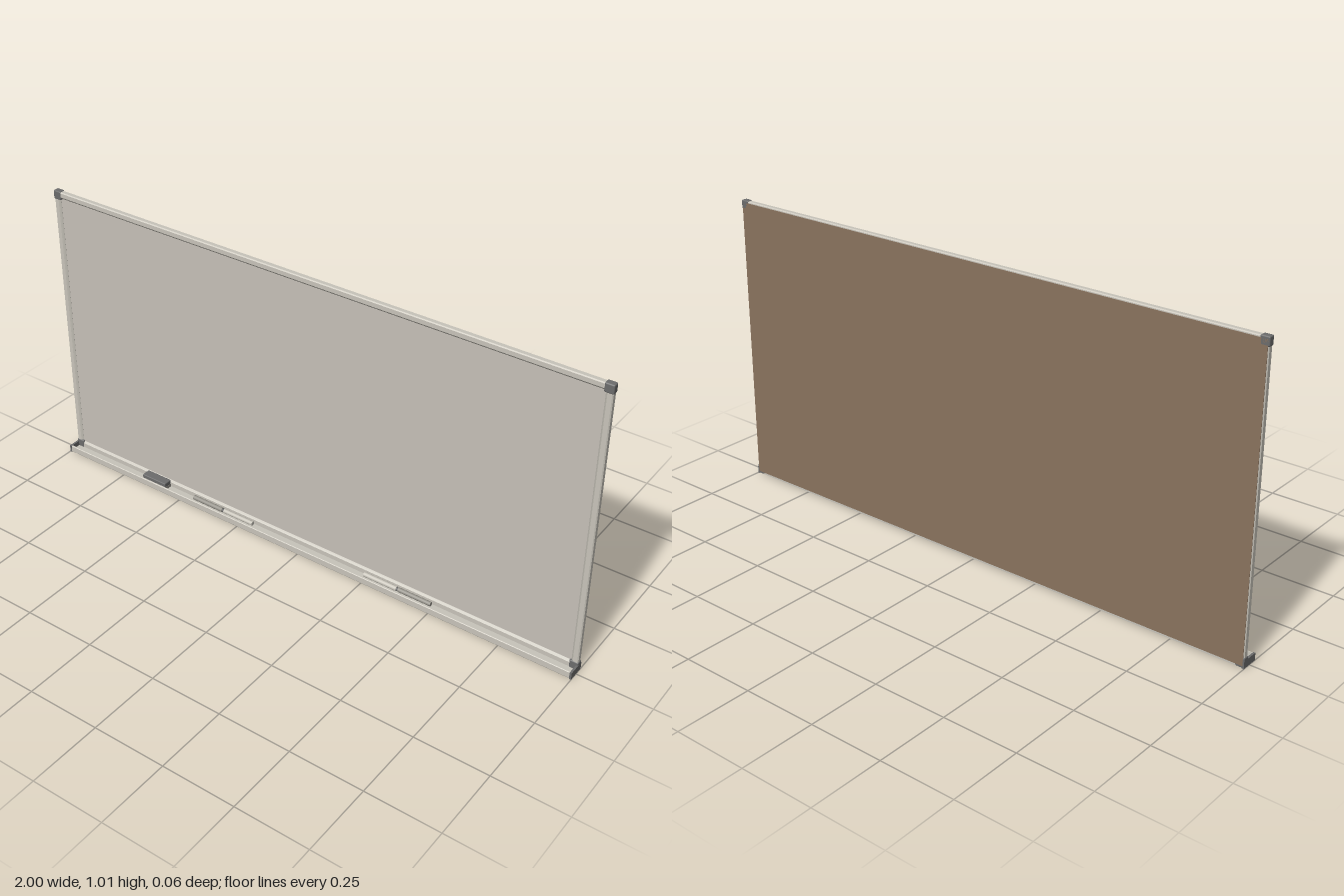
import * as THREE from 'three';
import { RoundedBoxGeometry } from 'three/addons/geometries/RoundedBoxGeometry.js';

const mat = (name, color) => {
  const m = new THREE.MeshStandardMaterial({ color });
  m.name = name;
  return m;
};

// Extrude a (z, y) outline along x, centred on x = 0
function railGeometry(points, length) {
  const shape = new THREE.Shape(points.map(([z, y]) => new THREE.Vector2(z, y)));
  const geo = new THREE.ExtrudeGeometry(shape, { depth: length, bevelEnabled: false });
  geo.translate(0, 0, -length / 2);
  geo.rotateY(-Math.PI / 2);
  return geo;
}

export function createModel() {
  const model = new THREE.Group();
  model.name = 'whiteboard';
  const frameMat = mat('pale aluminium', 0xc8c4ba);
  const boardMat = mat('writing surface', 0xc6c0b8);
  const backMat = mat('brown backing', 0x8a735e);
  const darkMat = mat('dark grey plastic', 0x6c6c6c);
  const capMat = mat('marker grey', 0x96938b);

  const add = (name, geo, material, x = 0, y = 0, z = 0, parent = model) => {
    const mesh = new THREE.Mesh(geo, material);
    mesh.name = name;
    mesh.position.set(x, y, z);
    parent.add(mesh);
    return mesh;
  };

  // Writing panel and its backing sheet
  add('writingPanel', new THREE.BoxGeometry(1.97, 0.97, 0.008), boardMat, 0, 0.503, -0.02);
  add('backing', new THREE.BoxGeometry(1.99, 0.99, 0.005), backMat, 0, 0.503, -0.0275);

  // Top and side rails share one chamfered profile, outward is +y
  const profile = [
    [-0.0285, 0], [-0.0285, 0.021], [-0.0255, 0.024], [-0.0125, 0.024],
    [-0.0095, 0.021], [-0.0095, 0.007], [-0.0125, 0.003], [-0.0155, 0],
  ].reverse();
  add('topRail', railGeometry(profile, 1.96), frameMat, 0, 0.98, 0);
  const sideGeo = railGeometry(profile, 0.96);
  for (const s of [-1, 1]) {
    const rail = add(s > 0 ? 'leftRail' : 'rightRail', sideGeo, frameMat, s * 0.974, 0.503, 0);
    rail.rotation.z = -s * Math.PI / 2;
  }

  // Bottom rail and open tray in one section
  const tray = [
    [-0.0285, 0.001], [0.029, 0.001], [0.03, 0.003], [0.03, 0.023], [0.028, 0.025],
    [0.025, 0.025], [0.024, 0.008], [-0.0095, 0.008], [-0.0095, 0.024],
    [-0.0155, 0.031], [-0.0285, 0.031],
  ];
  add('tray', railGeometry(tray, 1.99), frameMat);

  // Corner caps and tray end plates
  const cornerGeo = new RoundedBoxGeometry(0.03, 0.03, 0.022, 2, 0.004);
  const lowerGeo = new RoundedBoxGeometry(0.03, 0.034, 0.022, 2, 0.004);
  const endGeo = new THREE.BoxGeometry(0.007, 0.025, 0.061);
  for (const s of [-1, 1]) {
    const side = s > 0 ? 'left' : 'right';
    add(side + 'TopCorner', cornerGeo, darkMat, s * 0.985, 0.991, -0.019);
    add(side + 'BottomCorner', lowerGeo, darkMat, s * 0.985, 0.018, -0.019);
    add(side + 'TrayEnd', endGeo, darkMat, s * 0.9965, 0.0125, 0.0005);
  }

  // Eraser resting in the tray
  const eraser = new THREE.Group();
  eraser.name = 'eraser';
  eraser.position.set(-0.615, 0, 0.007);
  model.add(eraser);
  add('eraserPad', new THREE.BoxGeometry(0.098, 0.012, 0.03), capMat, 0, 0.014, 0, eraser);
  add('eraserGrip', new RoundedBoxGeometry(0.1, 0.016, 0.032, 2, 0.003), darkMat, 0, 0.028, 0, eraser);

  // Markers: a barrel, a short neck and a cap
  const rod = (r, length) => new THREE.CylinderGeometry(r, r, length, 16).rotateZ(Math.PI / 2);
  [[-0.328, capMat, frameMat], [0.37, frameMat, capMat]].forEach(([x, barrelMat, tipMat], i) => {
    const marker = new THREE.Group();
    marker.name = 'marker' + (i + 1);
    marker.position.set(x, 0.016, 0.001);
    model.add(marker);
    add('barrel', rod(0.008, 0.123), barrelMat, -0.0635, 0, 0, marker);
    add('neck', rod(0.006, 0.01), darkMat, 0, 0, 0, marker);
    add('cap', rod(0.0075, 0.12), tipMat, 0.065, 0, 0, marker);
  });

  return model;
}
